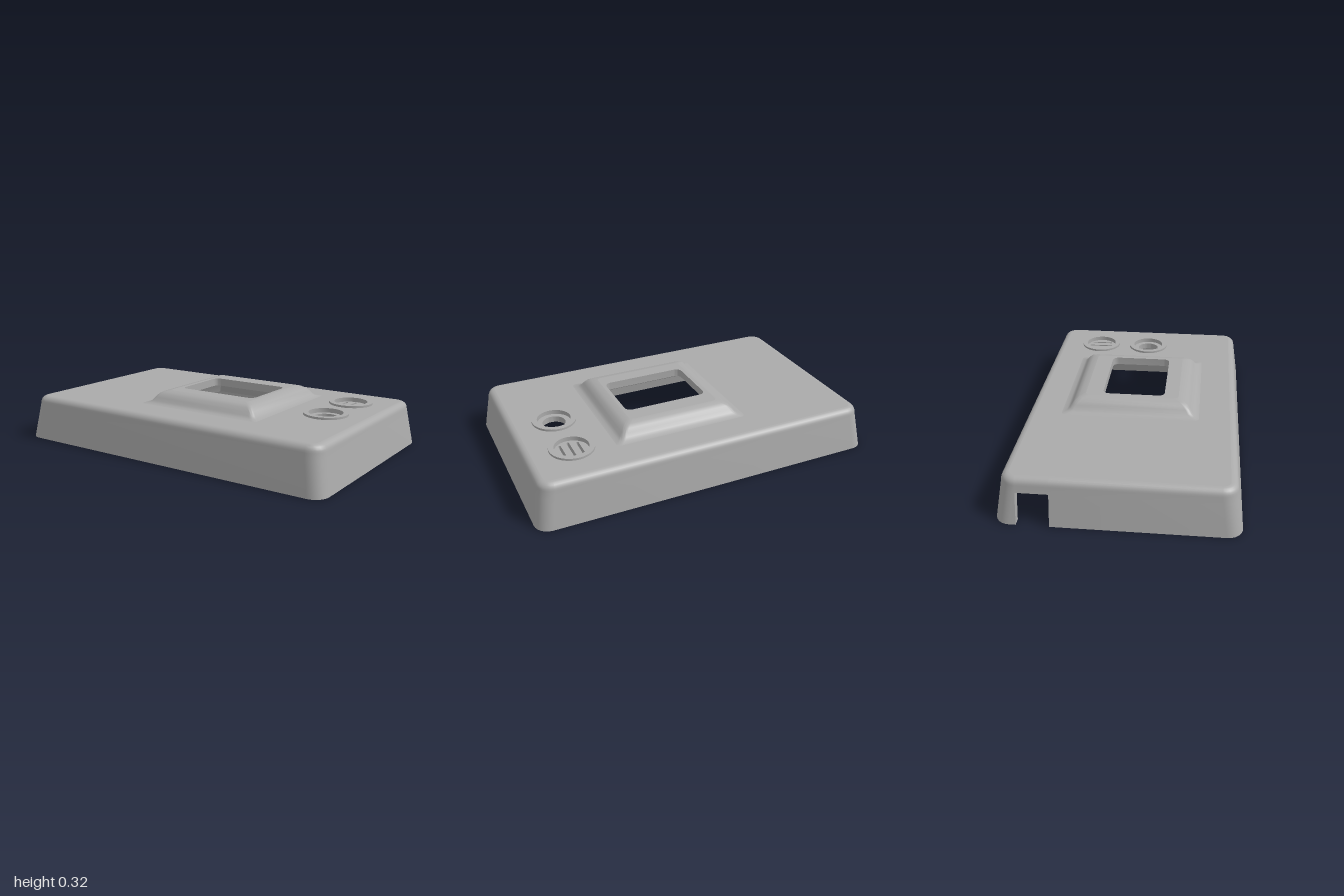
import * as THREE from 'three';
import { toCreasedNormals } from 'three/addons/utils/BufferGeometryUtils.js';

const NOTCH = [-0.34, -0.51]; // cable notch, z limits in the right wall
const NOTCH_TOP = 0.175;
const CORNER = 6;
const NOTCH_COL = 2 * (CORNER + 1); // loop column where the notch starts

// Rounded rectangle at height y, with two extra points for the notch
function loop(cx, cz, hx, hz, r, y) {
  const pts = [];
  const signs = [[1, 1], [-1, 1], [-1, -1], [1, -1]];
  signs.forEach(([sx, sz], q) => {
    if (q === 2) {
      for (const z of NOTCH) pts.push(new THREE.Vector3(cx - hx, y, Math.max(z, cz - hz + r)));
    }
    for (let i = 0; i <= CORNER; i++) {
      const a = (q + i / CORNER) * Math.PI / 2;
      pts.push(new THREE.Vector3(cx + sx * (hx - r) + r * Math.cos(a), y, cz + sz * (hz - r) + r * Math.sin(a)));
    }
  });
  return pts;
}

function trianglesToGeometry(list) {
  const geo = new THREE.BufferGeometry().setFromPoints(list);
  return toCreasedNormals(geo, 0.6);
}

// Skin between successive loops; skip(row, column) leaves gaps
function loft(rows, skip = () => false, extra = []) {
  const tris = [];
  const quad = (a, b, c, d) => tris.push(a, b, c, a, c, d);
  for (let i = 0; i < rows.length - 1; i++) {
    const n = rows[i].length;
    for (let j = 0; j < n; j++) {
      if (skip(i, j)) continue;
      const k = (j + 1) % n;
      quad(rows[i][j], rows[i + 1][j], rows[i + 1][k], rows[i][k]);
    }
  }
  extra.forEach((q) => quad(...q));
  return trianglesToGeometry(tris);
}

// Flat face at the height of a loop, with holes given as loops
function cap(outline, holes, up) {
  const s = up ? -1 : 1;
  const flat = (pts) => pts.map((p) => new THREE.Vector2(p.x, s * p.z));
  const shape = new THREE.Shape(flat(outline));
  holes.forEach((h) => shape.holes.push(new THREE.Path(flat(h))));
  const geo = new THREE.ShapeGeometry(shape);
  geo.rotateX(s * Math.PI / 2);
  geo.translate(0, outline[0].y, 0);
  return geo;
}

const circle = (x, z, r) => Array.from({ length: 48 }, (_, i) => {
  const a = i / 48 * Math.PI * 2;
  return new THREE.Vector3(x + r * Math.cos(a), 0, z + r * Math.sin(a));
});

// Horizontal round plate from y0 to y1 with holes
function plate(r, holes, y0, y1) {
  const shape = new THREE.Shape();
  shape.absarc(0, 0, r, 0, Math.PI * 2);
  shape.holes = holes;
  const geo = new THREE.ExtrudeGeometry(shape, { depth: y1 - y0, bevelEnabled: false, curveSegments: 24 });
  geo.rotateX(-Math.PI / 2);
  geo.translate(0, y0, 0);
  return toCreasedNormals(geo, 0.6);
}

function roundHole(r) {
  const p = new THREE.Path();
  p.absarc(0, 0, r, 0, Math.PI * 2);
  return p;
}

function slot(x, half, w) {
  const p = new THREE.Path();
  p.absarc(x, half - w, w, 0, Math.PI);
  p.absarc(x, -half + w, w, Math.PI, Math.PI * 2);
  p.closePath();
  return p;
}

export function createModel() {
  const model = new THREE.Group();
  const grey = new THREE.MeshStandardMaterial({ color: 0xaaaaaa });
  grey.name = 'grey plastic';
  const add = (name, geo, parent = model) => {
    const m = new THREE.Mesh(geo, grey);
    m.name = name;
    parent.add(m);
    return m;
  };

  const TOP = 0.253, CEILING = 0.205;
  const roundels = [[0.705, -0.31], [0.705, 0.01]];
  const roundelHoles = roundels.map(([x, z]) => circle(x, z, 0.096));

  // Walls: inner face downward, bottom rim, outer face upward, top fillet
  const t = NOTCH_TOP / CEILING, u = NOTCH_TOP / 0.213;
  const rows = [
    loop(0, 0, 0.92, 0.545, 0.008, CEILING),
    loop(0, 0, 0.955 - 0.035 * t, 0.58 - 0.035 * t, 0.008, NOTCH_TOP),
    loop(0, 0, 0.955, 0.58, 0.008, 0),
    loop(0, 0, 1, 0.625, 0.08, 0),
    loop(0, 0, 1 - 0.035 * u, 0.625 - 0.032 * u, 0.08, NOTCH_TOP),
  ];
  for (let i = 0; i <= 6; i++) {
    const a = i / 6 * Math.PI / 2, c = 0.04 * Math.cos(a);
    rows.push(loop(0, 0, 0.925 + c, 0.553 + c, 0.04 + c, 0.213 + 0.04 * Math.sin(a)));
  }
  const [A, B] = [NOTCH_COL, NOTCH_COL + 1];
  const jamb = (k) => [1, 2, 3, 4].map((i) => rows[i][k]);
  const notchFaces = [
    jamb(A),
    jamb(B).reverse(),
    [rows[1][A], rows[4][A], rows[4][B], rows[1][B]],
  ];
  add('walls', loft(rows, (i, j) => j === A && i >= 1 && i <= 3, notchFaces));

  // Screen bezel: swept foot and rounded shoulder, hollow underneath
  const bx = 0.088, bz = -0.01;
  const profile = [[0.39, TOP], [0.365, 0.258], [0.35, 0.27], [0.338, 0.288], [0.322, 0.306], [0.3, 0.319], [0.268, 0.325]];
  const bezelRows = profile.map(([h, y]) => loop(bx, bz, h, h, 0.025, y));
  const recessTop = loop(bx, bz, 0.28, 0.28, 0.006, 0.28);
  const recessBottom = loop(bx, bz, 0.315, 0.315, 0.006, CEILING);
  const windowTop = loop(0.09, -0.002, 0.246, 0.178, 0.035, 0.325);
  const windowBottom = loop(0.09, -0.002, 0.246, 0.178, 0.035, 0.28);
  const bezel = new THREE.Group();
  bezel.name = 'screenBezel';
  model.add(bezel);
  add('bezelSides', loft(bezelRows), bezel);
  add('bezelTop', cap(bezelRows.at(-1), [windowTop], true), bezel);
  add('windowEdge', loft([windowTop, windowBottom]), bezel);
  add('bezelUnderside', cap(recessTop, [windowBottom], false), bezel);
  add('bezelRecess', loft([recessTop, recessBottom]), bezel);

  // Top panel and ceiling, open at the bezel and roundels
  add('topPanel', cap(rows.at(-1), [recessBottom, ...roundelHoles], true));
  add('ceiling', cap(rows[0], [recessBottom, ...roundelHoles], false));

  // Roundels: raised ring around a sunken plate
  const openings = [
    [slot(-0.05, 0.065, 0.007), slot(0, 0.08, 0.007), slot(0.05, 0.065, 0.007)],
    [roundHole(0.065)],
  ];
  ['speakerGrille', 'buttonHole'].forEach((name, i) => {
    const g = new THREE.Group();
    g.name = name;
    g.position.set(roundels[i][0], 0, roundels[i][1]);
    model.add(g);
    add('raisedRing', plate(0.125, [roundHole(0.095)], 0.236, 0.265), g);
    add('sunkenPlate', plate(0.097, openings[i], CEILING, 0.24), g);
  });

  return model;
}
